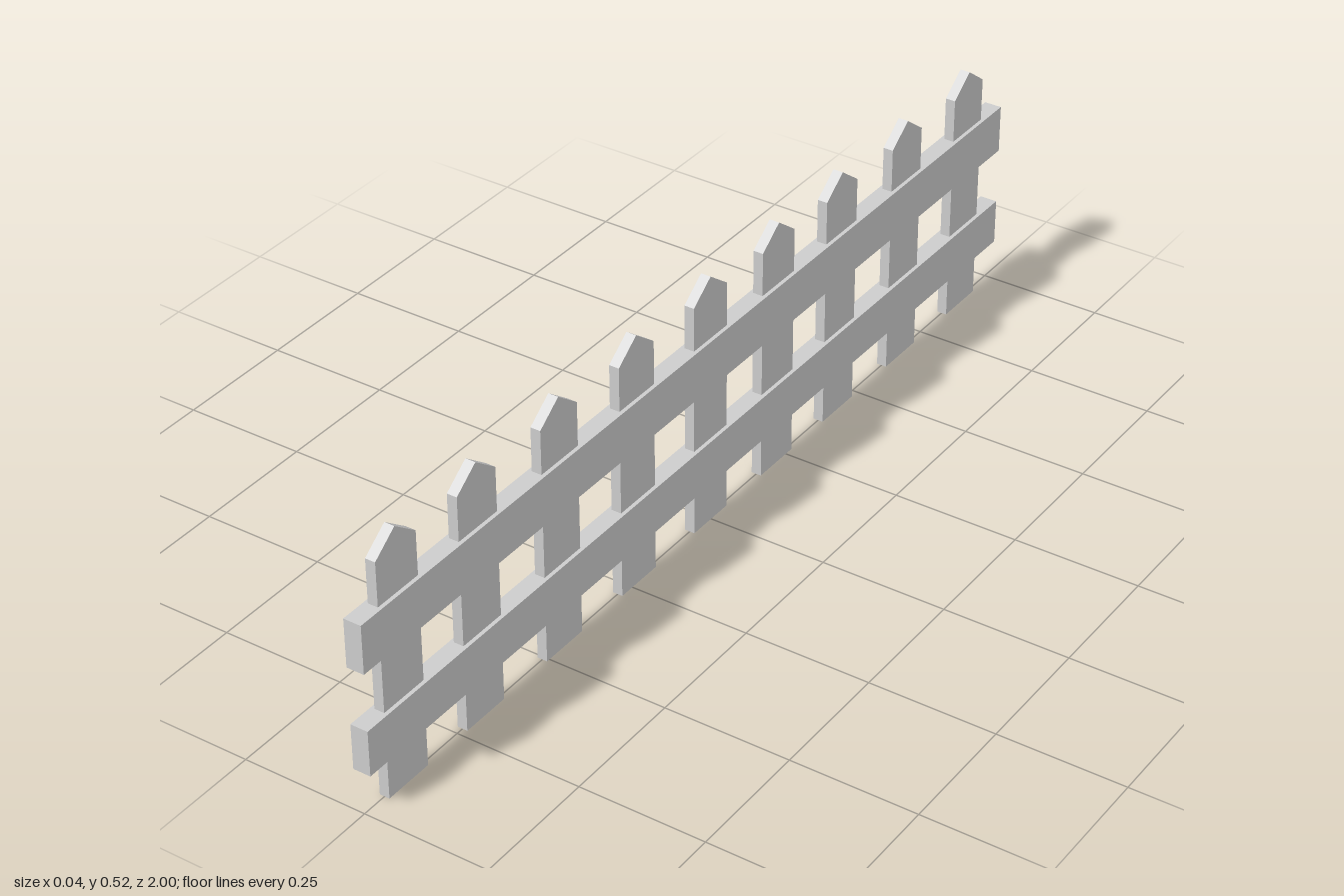
import * as THREE from 'three';

// Pointed board, open at the foot, standing on y = 0 and facing +x
function picketGeometry(width, shoulder, tip, depth) {
  const h = width / 2;
  const shape = new THREE.Shape([
    new THREE.Vector2(-h, 0),
    new THREE.Vector2(h, 0),
    new THREE.Vector2(h, shoulder),
    new THREE.Vector2(0, tip),
    new THREE.Vector2(-h, shoulder),
  ]);
  const solid = new THREE.ExtrudeGeometry(shape, { depth, bevelEnabled: false });
  solid.translate(0, 0, -depth / 2).rotateY(Math.PI / 2);

  // Leave out the foot: drop the triangles that lie flat on the ground
  const p = solid.attributes.position;
  const kept = [];
  for (let i = 0; i < p.count; i += 3) {
    const corners = [i, i + 1, i + 2];
    if (corners.every((k) => p.getY(k) < 0.001)) continue;
    for (const k of corners) kept.push(p.getX(k), p.getY(k), p.getZ(k));
  }
  const geometry = new THREE.BufferGeometry();
  geometry.setAttribute('position', new THREE.Float32BufferAttribute(kept, 3));
  geometry.computeVertexNormals();
  return geometry;
}

export function createModel() {
  const fence = new THREE.Group();
  fence.name = 'picketFence';
  const paint = new THREE.MeshStandardMaterial({ color: 0xcccccc, side: THREE.DoubleSide });
  paint.name = 'greyPaint';

  // Two long rails
  const rails = [['lowerRail', 0.086, 0.178], ['upperRail', 0.293, 0.39]];
  for (const [name, bottom, top] of rails) {
    const rail = new THREE.Mesh(new THREE.BoxGeometry(0.035, top - bottom, 2), paint);
    rail.name = name;
    rail.position.y = (bottom + top) / 2;
    fence.add(rail);
  }

  // Nine slightly unevenly spaced pickets passing through the rails
  const board = picketGeometry(0.104, 0.478, 0.517, 0.02);
  const spots = [0.895, 0.683, 0.455, 0.229, 0.002, -0.217, -0.43, -0.658, -0.884];
  spots.forEach((z, i) => {
    const picket = new THREE.Mesh(board, paint);
    picket.name = `picket${i + 1}`;
    picket.position.z = z;
    fence.add(picket);
  });

  return fence;
}
